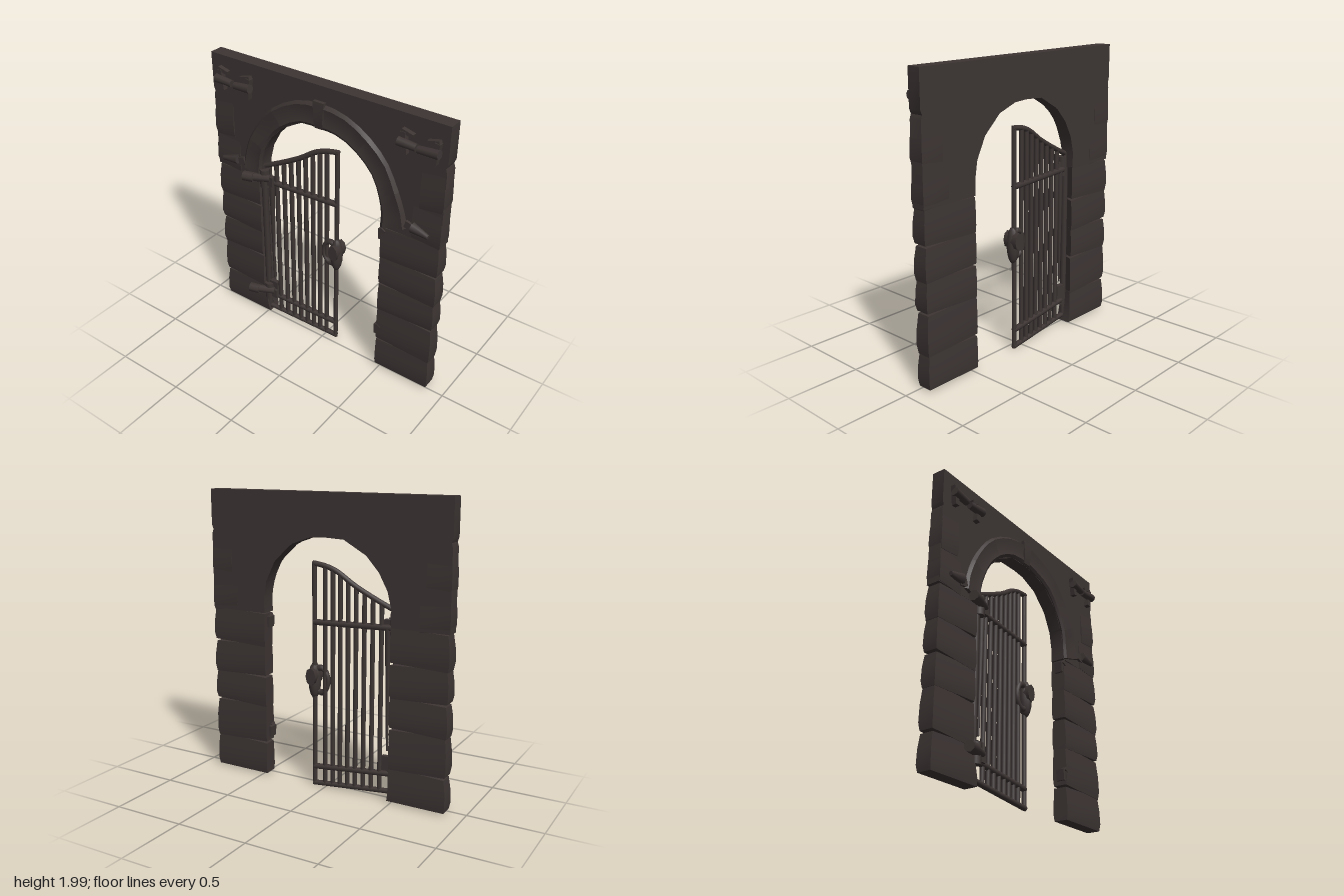
import * as THREE from 'three';
import { toCreasedNormals } from 'three/addons/utils/BufferGeometryUtils.js';

const V = (x, y, z) => new THREE.Vector3(x, y, z);
const iron = new THREE.MeshStandardMaterial({ color: 0x3d3534 });
iron.name = 'dark stone and iron';

function add(parent, name, geometry) {
  const mesh = new THREE.Mesh(geometry, iron);
  mesh.name = name;
  parent.add(mesh);
  return mesh;
}

function group(parent, name) {
  const g = new THREE.Group();
  g.name = name;
  parent.add(g);
  return g;
}

// Closed solid through matching rings, counter-clockwise seen from the far end
function loft(rings, crease = 0.6) {
  const n = rings[0].length, last = rings.length - 1, index = [];
  for (let i = 0; i < last; i++)
    for (let j = 0; j < n; j++) {
      const a = i * n + j, b = i * n + (j + 1) % n;
      index.push(a, b, b + n, a, b + n, a + n);
    }
  for (let j = 1; j < n - 1; j++)
    index.push(0, j + 1, j, last * n, last * n + j, last * n + j + 1);
  const g = new THREE.BufferGeometry().setFromPoints(rings.flat());
  g.setIndex(index);
  return toCreasedNormals(g, crease);
}

// Round bar between two points
function bar(parent, name, a, b, r0, r1 = r0, sides = 8) {
  const dir = b.clone().sub(a);
  const m = add(parent, name, new THREE.CylinderGeometry(r1, r0, dir.length(), sides));
  m.position.copy(a).add(b).multiplyScalar(0.5);
  m.quaternion.setFromUnitVectors(V(0, 1, 0), dir.normalize());
  return m;
}

function box(parent, name, x, y, z, w, h, d, rz = 0) {
  const m = add(parent, name, new THREE.BoxGeometry(w, h, d));
  m.position.set(x, y, z);
  m.rotation.z = rz;
  return m;
}

const innerArch = [[-0.49, 1.18], [-0.488, 1.3], [-0.46, 1.41], [-0.4, 1.52], [-0.31, 1.62], [-0.15, 1.71], [0, 1.717],
  [0.1, 1.71], [0.24, 1.66], [0.37, 1.54], [0.44, 1.4], [0.46, 1.28], [0.46, 1.18]];
const outerArch = [[-0.65, 1.24], [-0.63, 1.34], [-0.585, 1.47], [-0.5, 1.61], [-0.4, 1.73], [-0.2, 1.85], [0, 1.885],
  [0.18, 1.86], [0.34, 1.78], [0.48, 1.65], [0.57, 1.48], [0.62, 1.35], [0.65, 1.24]];

// Wall over the opening
function buildArchWall(parent) {
  const s = new THREE.Shape();
  const outline = [[-0.88, 1.18], ...innerArch, [0.88, 1.18], [0.878, 1.7], [0.868, 1.73], [0.88, 1.76],
    [0.88, 2], [-0.88, 2], [-0.88, 1.76], [-0.87, 1.73], [-0.878, 1.7]];
  outline.forEach(([x, y], i) => (i ? s.lineTo(x, y) : s.moveTo(x, y)));
  const g = new THREE.ExtrudeGeometry(s, { depth: 0.095, bevelEnabled: false });
  g.translate(0, 0, -0.085);
  add(parent, 'archWall', toCreasedNormals(g, 0.5));
}

// Stacked rough courses; each row is [y, front bulge, inner edge]
function buildPillar(parent, side) {
  const p = group(parent, side > 0 ? 'leftPillar' : 'rightPillar');
  const face = side > 0 ? 0.465 : 0.52, reveal = side > 0 ? 0.46 : 0.485;
  const levels = [0.02, 0.25, 0.52, 0.73, 0.95, 1.18, 1.42, 1.68];
  for (let i = 0; i < levels.length - 1; i++) {
    const y0 = levels[i], y1 = levels[i + 1], above = i >= 5;
    const edge = (f) => above ? (i === 5 ? 0.68 : 0.72) : (i === 0 && side < 0 ? 0.475 + 0.045 * f : face);
    const rings = [0, 0.2, 0.6, 1].map((f, k) => {
      const y = y0 + (y1 - y0) * f;
      const zf = [0.012, 0.019, 0.016, 0.009][k], zb = [-0.082, -0.088, -0.086, -0.081][k];
      const out = [0.874, 0.882, 0.88, 0.868][k], inF = edge(f), inB = above ? inF : Math.min(reveal, inF);
      const tilt = 0.008 * side * (i % 2 ? 1 : -1) * (k === 0 || k === 3 ? 1 : 0.5);
      const yIn = i === 0 && k === 0 ? y : y + tilt, yOut = i === 0 && k === 0 ? y : y - tilt;
      return side > 0
        ? [V(inF, yIn, zf), V(out, yOut, zf), V(out, yOut, zb), V(inB, yIn, zb)]
        : [V(-out, yOut, zf), V(-inF, yIn, zf), V(-inB, yIn, zb), V(-out, yOut, zb)];
    });
    add(p, 'course', loft(rings));
  }
}

// Raised ring of arch stones with a keystone and pointed ends
function buildArchRing(parent) {
  const ring = group(parent, 'archRing');
  const curve = (pts) => new THREE.CatmullRomCurve3(pts.map(([x, y]) => V(x, y, 0)));
  const inner = curve(innerArch), outer = curve(outerArch);
  const profile = [[0, -0.08], [1, -0.08], [1, 0.012], [0.88, 0.032], [0.4, 0.022], [0.12, 0.03], [0, 0.018]];
  const cuts = [0, 0.17, 0.34, 0.5, 0.68, 0.84, 1];
  for (let i = 0; i < 6; i++) {
    const rings = [0, 0.25, 0.5, 0.75, 1].map((f) => {
      const t = cuts[i] + (cuts[i + 1] - cuts[i]) * f;
      const a = inner.getPoint(t), b = outer.getPoint(t), lift = 0.006 * Math.abs(2 * f - 1);
      return profile.map(([k, z]) => {
        const q = a.clone().lerp(b, k);
        q.z = z > 0.015 ? z + lift - 0.003 : z;
        return q;
      });
    });
    add(ring, 'archStone', loft(rings));
  }
  const slab = (x0, x1, y, z) => [V(x0, y, z), V(x1, y, z), V(x1, y, -0.07), V(x0, y, -0.07)];
  add(ring, 'keystone', loft([slab(-0.035, 0.025, 1.72, 0.03), slab(-0.04, 0.03, 1.78, 0.04), slab(-0.045, 0.035, 1.9, 0.034)]));
  for (const s of [-1, 1]) {
    bar(ring, 'archFoot', V(s * 0.69, 1.275, 0.03), V(s * 0.81, 1.255, 0.04), 0.036, 0.016, 6).scale.z = 0.9;
    box(ring, 'archFootStone', s * 0.67, 1.265, 0.012, 0.07, 0.05, 0.03, s * -0.3);
  }
}

// Barrel-and-plate mounts in the top corners: [plate x, barrel end x, y]
function buildMounts(parent) {
  const mounts = [[-0.785, -0.685, 1.85], [-0.56, -0.66, 1.845], [0.6, 0.69, 1.835], [0.81, 0.7, 1.83]];
  for (const [px, bx, y] of mounts) {
    const g = group(parent, 'cornerMount'), d = Math.sign(bx - px);
    box(g, 'mountPlate', px, y - 0.01, 0.025, 0.035, 0.14, 0.04, d * 0.12);
    bar(g, 'mountBarrel', V(px - d * 0.03, y, 0.048), V(bx, y - 0.01, 0.045), 0.03, 0.024);
    box(g, 'mountFoot', px + d * 0.02, y + 0.055, 0.02, 0.08, 0.025, 0.04, -d * 0.25);
  }
}

// Slatted gate standing slightly ajar inside the wall thickness
function buildGate(parent) {
  const gate = group(parent, 'gate');
  const gz = (x) => -0.012 - 0.045 * (x + 0.49) / 0.58;
  const at = (x, y) => V(x, y, gz(x));
  const low = (x) => 0.062 - 0.065 * (x + 0.49);
  const crest = new THREE.CatmullRomCurve3(
    [[-0.5, 1.27], [-0.37, 1.33], [-0.2, 1.42], [-0.08, 1.5], [0.0, 1.53], [0.09, 1.545]].map(([x, y]) => at(x, y)));
  const top = (x) => {
    let t = 0;
    while (t < 1 && crest.getPoint(t).x < x) t += 0.01;
    return crest.getPoint(Math.min(t, 1)).y;
  };
  add(gate, 'topRail', new THREE.TubeGeometry(crest, 16, 0.018, 8));
  bar(gate, 'upperRail', at(-0.5, 1.165), at(0.085, 1.155), 0.021);
  bar(gate, 'lowerRail', at(-0.5, 0.185), at(0.085, 0.145), 0.02);
  bar(gate, 'bottomRail', at(-0.5, low(-0.5)), at(0.09, low(0.09)), 0.018);
  for (const x of [-0.392, -0.332, -0.274, -0.216, -0.16, -0.105, -0.052, 0.003])
    bar(gate, 'slat', at(x, low(x)), at(x, top(x)), 0.016);
  bar(gate, 'endPost', at(0.08, 0.012), at(0.08, 1.555), 0.016);
  bar(gate, 'hingePost', at(-0.495, 0.06), at(-0.495, 1.28), 0.022);
  bar(gate, 'taperedSlat', at(-0.442, 0.34), at(-0.435, 1.16), 0.007, 0.02);
  box(gate, 'hingePlate', -0.455, 0.255, gz(-0.45), 0.09, 0.1, 0.03);

  // Latch with a ring handle
  const latch = group(gate, 'latch');
  const body = add(latch, 'latchBody', new THREE.SphereGeometry(1, 12, 8));
  body.scale.set(0.042, 0.13, 0.045);
  body.position.set(0.085, 0.755, -0.05);
  const hub = bar(latch, 'latchHub', V(0.085, 0.79, -0.108), V(0.085, 0.79, 0.0), 0.038);
  hub.scale.z = 1.6;
  const handle = add(latch, 'latchRing', new THREE.TorusGeometry(0.075, 0.019, 8, 20));
  handle.scale.set(0.75, 1.15, 1);
  handle.position.set(0.04, 0.76, -0.045);
}

// Hinge arms reaching from the wall to the gate post
function buildHinges(parent) {
  for (const y of [1.19, 0.22]) {
    const g = group(parent, 'hinge');
    bar(g, 'hingeArm', V(-0.595, y, 0.06), V(-0.43, y + 0.01, 0.005), 0.032, 0.026);
    bar(g, 'hingeCap', V(-0.615, y - 0.003, 0.062), V(-0.54, y, 0.045), 0.036);
    bar(g, 'hingeSleeve', V(-0.48, y - 0.07, 0.0), V(-0.48, y + 0.065, 0.0), 0.035);
    box(g, 'hingeStrap', -0.43, y - 0.01, 0.0, 0.05, 0.07, 0.035);
  }
  for (const y of [1.115, 0.325]) {
    const k = group(parent, 'latchKeeper');
    box(k, 'keeperBlock', 0.465, y, -0.02, 0.045, 0.075, 0.06, 0.08);
    box(k, 'keeperLip', 0.475, y + 0.035, 0.0, 0.035, 0.03, 0.04, -0.5);
  }
}

export function createModel() {
  const model = new THREE.Group();
  model.name = 'archedGateway';
  buildArchWall(model);
  buildPillar(model, 1);
  buildPillar(model, -1);
  buildArchRing(model);
  buildMounts(model);
  buildGate(model);
  buildHinges(model);
  return model;
}
